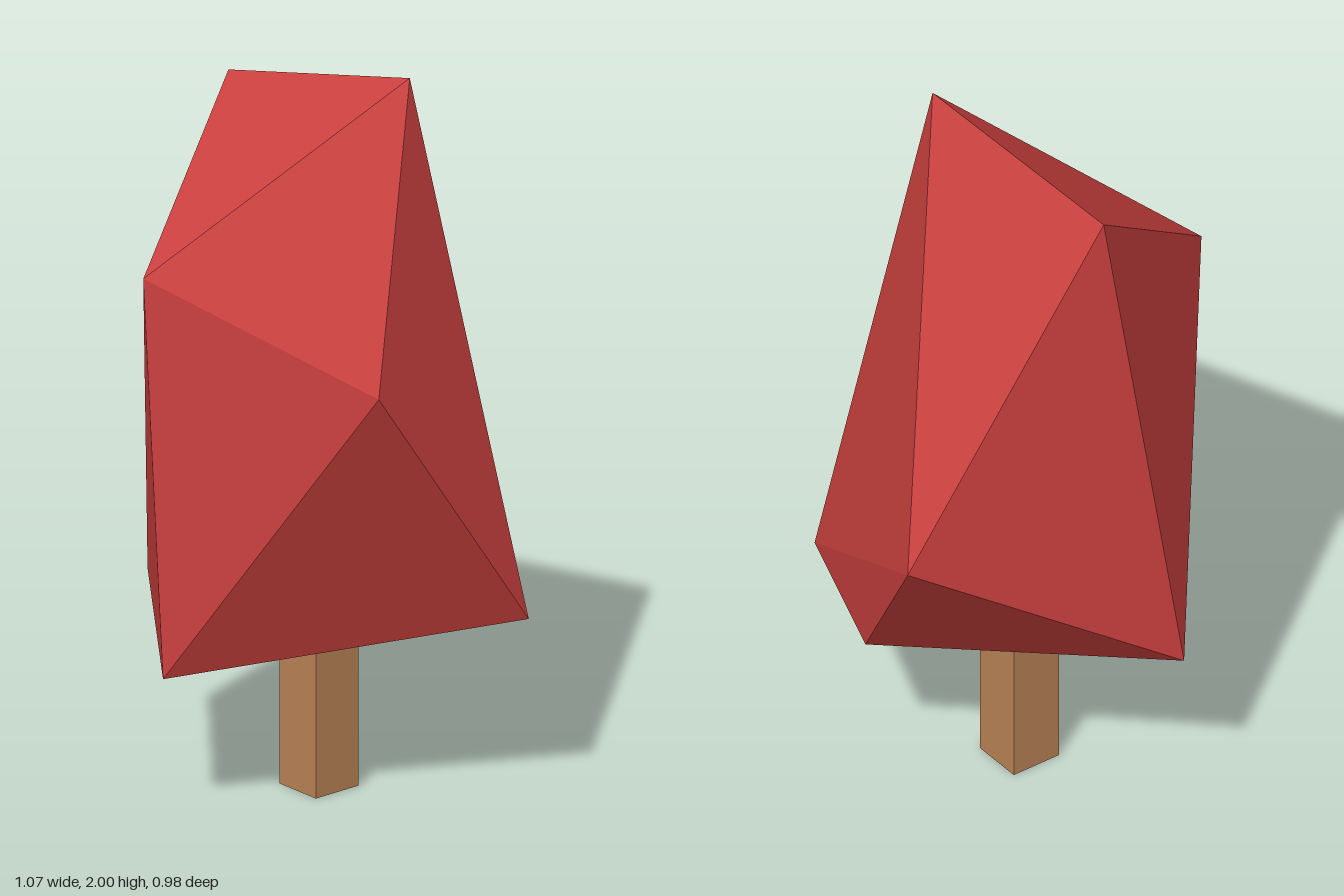
import * as THREE from 'three';
import { ConvexGeometry } from 'three/addons/geometries/ConvexGeometry.js';

export function createModel() {
  const group = new THREE.Group();

  // Faceted crown: convex hull around nine corner points
  const corners = [
    [0.07, 2.0, 0.25], [-0.04, 1.88, -0.34],                        // top ridge
    [-0.525, 1.49, -0.11], [-0.24, 1.26, 0.49], [0.53, 0.96, -0.26], // sides
    [0.285, 0.52, 0.47], [-0.19, 0.5, -0.485],                      // lower rim
    [-0.535, 0.415, -0.02], [0.39, 0.455, 0.11],
  ].map((p) => new THREE.Vector3(...p));
  const foliage = new THREE.Mesh(
    new ConvexGeometry(corners),
    new THREE.MeshStandardMaterial({ color: 0xc9403e, flatShading: true })
  );
  foliage.name = 'foliage';
  group.add(foliage);

  // Square trunk: open-ended four-sided tube reaching up to the crown
  const width = 0.145, height = 0.45;
  const tube = new THREE.CylinderGeometry(width / Math.SQRT2, width / Math.SQRT2, height, 4, 1, true);
  tube.rotateY(Math.PI / 4);
  const trunk = new THREE.Mesh(
    tube,
    new THREE.MeshStandardMaterial({ color: 0xb98255, flatShading: true, side: THREE.DoubleSide })
  );
  trunk.name = 'trunk';
  trunk.position.set(-0.017, height / 2, -0.008);
  group.add(trunk);

  return group;
}
